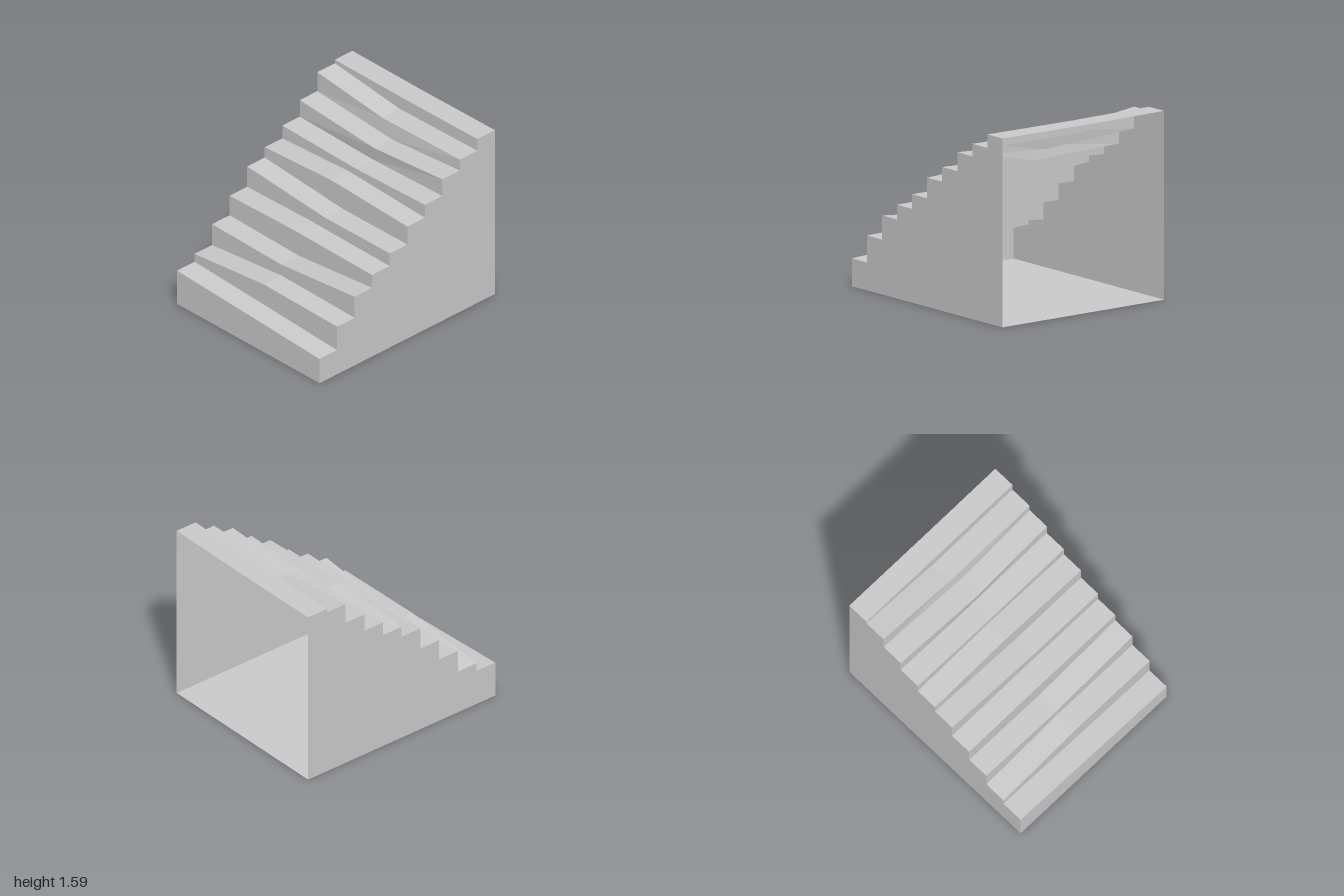
import * as THREE from 'three';

const HALF = 0.85; // half width
const DEPTH = 0.2; // tread depth

// Each step: height at -x wall, x and height of the middle bend, height at +x wall, forward push of the bend
const STEPS = [
  [0.323, 0, 0.28, 0.235, 0],
  [0.4, -0.02, 0.478, 0.463, 0],
  [0.602, -0.03, 0.583, 0.667, 0],
  [0.792, -0.09, 0.805, 0.792, 0],
  [0.99, 0.08, 0.913, 0.916, 0],
  [1.09, -0.06, 1.13, 1.09, 0],
  [1.214, 0.03, 1.193, 1.214, 0],
  [1.375, 0.06, 1.325, 1.375, 0.016],
  [1.56, -0.08, 1.468, 1.48, 0],
  [1.594, 0, 1.589, 1.594, 0],
];

const material = new THREE.MeshStandardMaterial({
  color: 0xcccccc, flatShading: true, side: THREE.DoubleSide,
});

// Two quads spanning a lower and an upper row of three points
function strip(lower, upper) {
  const points = [];
  for (let i = 0; i < 2; i++) {
    points.push(lower[i], lower[i + 1], upper[i + 1], lower[i], upper[i + 1], upper[i]);
  }
  const geometry = new THREE.BufferGeometry().setFromPoints(points);
  geometry.computeVertexNormals();
  return geometry;
}

function edge([yLeft, xMid, yMid, yRight, push], z) {
  return [
    new THREE.Vector3(-HALF, yLeft, z),
    new THREE.Vector3(xMid, yMid, z + push),
    new THREE.Vector3(HALF, yRight, z),
  ];
}

// Stepped side wall, drawn in (-z, y) and turned to face along x
function sideWall(x, column) {
  const shape = new THREE.Shape().moveTo(-1, 0);
  STEPS.forEach((step, i) => {
    shape.lineTo(-1 + i * DEPTH, step[column]);
    shape.lineTo(-1 + (i + 1) * DEPTH, step[column]);
  });
  shape.lineTo(1, 0);
  return new THREE.ShapeGeometry(shape).rotateY(Math.PI / 2).translate(x, 0, 0);
}

export function createModel() {
  const group = new THREE.Group();
  group.name = 'wornStaircase';
  const add = (name, geometry) => {
    const mesh = new THREE.Mesh(geometry, material);
    mesh.name = name;
    group.add(mesh);
  };

  // Risers and treads, climbing towards the back
  let previous = edge([0, 0, 0, 0, 0], 1);
  STEPS.forEach((step, i) => {
    const front = edge(step, 1 - i * DEPTH);
    const back = edge(step, 1 - (i + 1) * DEPTH);
    add(`riser${i + 1}`, strip(previous, front));
    add(`tread${i + 1}`, strip(front, back));
    previous = back;
  });

  // Side walls and floor; the back stays open
  add('rightWall', sideWall(-HALF, 0));
  add('leftWall', sideWall(HALF, 3));
  add('floor', new THREE.PlaneGeometry(2 * HALF, 2).rotateX(Math.PI / 2));

  return group;
}
